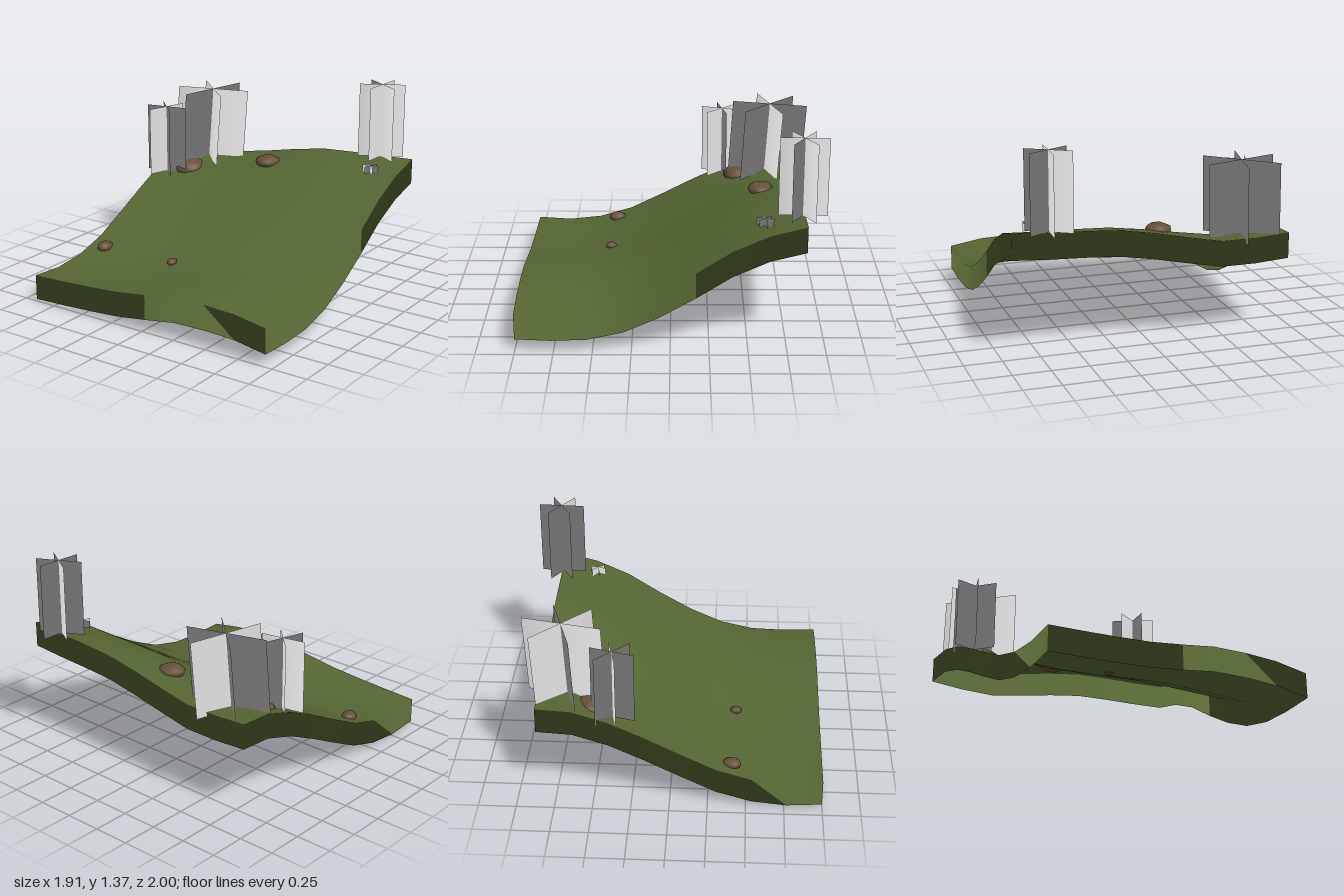
import * as THREE from 'three';
import { mergeVertices } from 'three/addons/utils/BufferGeometryUtils.js';

const grass = new THREE.MeshStandardMaterial({ name: 'hillGreen', color: 0x556633, side: THREE.DoubleSide });
const grey = new THREE.MeshStandardMaterial({ name: 'paleGrey', color: 0xcccccc, side: THREE.DoubleSide });
const brown = new THREE.MeshStandardMaterial({ name: 'rockBrown', color: 0x67503a });

// Heights along the four borders: front/back run from -x to +x, sides from front to back
const N = 8, X0 = -0.905, X1 = 0.953, Z0 = 1, Z1 = -0.86, SKIRT = 0.173;
const front = [0.19, 0.2, 0.213, 0.23, 0.262, 0.298, 0.305, 0.297, 0.26];
const back = [0.705, 0.69, 0.69, 0.735, 0.785, 0.825, 0.84, 0.85, 0.865];
const rightSide = [0.19, 0.175, 0.2, 0.27, 0.385, 0.505, 0.615, 0.69, 0.705];
const leftSide = [0.26, 0.25, 0.258, 0.31, 0.415, 0.55, 0.7, 0.805, 0.865];
// How far the bulge of the front border reaches back, row by row
const frontFade = [1, 1.25, 0.75, 0.3, 0.05, 0, 0, 0, 0];
const mix = THREE.MathUtils.lerp;

// Blend of the border heights over the whole patch
function height(i, j) {
  const u = i / N, v = j / N;
  const frontBulge = front[i] - mix(front[0], front[N], u);
  const backBulge = back[i] - mix(back[0], back[N], u);
  return mix(rightSide[j], leftSide[j], u) + frontBulge * frontFade[j] + backBulge * v;
}

function geometry(positions, index) {
  const g = new THREE.BufferGeometry();
  g.setAttribute('position', new THREE.Float32BufferAttribute(positions, 3));
  g.setIndex(index);
  return g;
}

function hillside() {
  const group = new THREE.Group();
  group.name = 'hillside';
  const pos = [], index = [], id = (i, j) => j * (N + 1) + i;
  for (let j = 0; j <= N; j++) {
    for (let i = 0; i <= N; i++) pos.push(mix(X0, X1, i / N), height(i, j), mix(Z0, Z1, j / N));
  }
  for (let j = 0; j < N; j++) {
    for (let i = 0; i < N; i++) {
      const a = id(i, j), b = id(i + 1, j), c = id(i + 1, j + 1), d = id(i, j + 1);
      index.push(a, b, c, a, c, d);
    }
  }
  const top = geometry(pos, index);
  top.computeVertexNormals();

  // Skirt hangs from the border and carries on the ground's normals
  const ring = [];
  for (let i = 0; i < N; i++) ring.push(id(i, 0));
  for (let j = 0; j < N; j++) ring.push(id(N, j));
  for (let i = N; i > 0; i--) ring.push(id(i, N));
  for (let j = N; j >= 0; j--) ring.push(id(0, j));
  const sPos = [], sNormal = [], sIndex = [], n = top.attributes.normal;
  ring.forEach((v, k) => {
    const [x, y, z] = pos.slice(v * 3, v * 3 + 3);
    sPos.push(x, y, z, x, y - SKIRT, z);
    for (let r = 0; r < 2; r++) sNormal.push(n.getX(v), n.getY(v), n.getZ(v));
    const a = k * 2;
    if (k < ring.length - 1) sIndex.push(a, a + 1, a + 3, a, a + 3, a + 2);
  });
  const skirt = geometry(sPos, sIndex);
  skirt.setAttribute('normal', new THREE.Float32BufferAttribute(sNormal, 3));

  const ground = new THREE.Mesh(top, grass), edge = new THREE.Mesh(skirt, grass);
  ground.name = 'ground';
  edge.name = 'groundSkirt';
  group.add(ground, edge);
  return group;
}

// Three upright planes crossing on one shared centre line; lean shifts the top.
// Normals point up and slightly outward for soft foliage shading.
function plantCards(name, x, z, y0, y1, radius, degrees, lean = [0, 0]) {
  const pos = [x, y0, z, x + lean[0], y1, z + lean[1]], normal = [0, 1, 0, 0, 1, 0], index = [];
  for (const d of degrees) {
    const a = THREE.MathUtils.degToRad(d), cos = Math.cos(a), sin = Math.sin(a);
    const k = pos.length / 3;
    for (const s of [-1, 1]) {
      const px = x + s * cos * radius, pz = z + s * sin * radius;
      pos.push(px, y0, pz, px + lean[0], y1, pz + lean[1]);
      const out = new THREE.Vector3(s * cos * 0.35, 1, s * sin * 0.35).normalize().toArray();
      normal.push(...out, ...out);
    }
    index.push(k, 0, 1, k, 1, k + 1, 0, k + 2, k + 3, 0, k + 3, 1);
  }
  const g = geometry(pos, index);
  g.setAttribute('normal', new THREE.Float32BufferAttribute(normal, 3));
  const mesh = new THREE.Mesh(g, grey);
  mesh.name = name;
  return mesh;
}

// Flattened, slightly irregular boulder
function rock(name, center, size, turn) {
  const ball = new THREE.IcosahedronGeometry(1, 1);
  ball.deleteAttribute('normal');
  ball.deleteAttribute('uv');
  const g = mergeVertices(ball), p = g.attributes.position;
  for (let i = 0; i < p.count; i++) {
    const x = p.getX(i), y = p.getY(i), z = p.getZ(i);
    const s = 1 + 0.07 * Math.sin(5 * x + 3 * y + turn) * Math.cos(4 * z - y);
    p.setXYZ(i, x * s, y * s, z * s);
  }
  g.rotateY(turn);
  g.scale(...size);
  g.computeVertexNormals();
  const mesh = new THREE.Mesh(g, brown);
  mesh.name = name;
  mesh.position.set(...center);
  return mesh;
}

export function createModel() {
  const model = new THREE.Group();
  model.name = 'hillsideTile';
  model.add(
    hillside(),
    plantCards('largePlant', -0.646, -0.675, 0.66, 1.18, 0.267, [-17, 43, 103], [0.02, -0.03]),
    plantCards('mediumPlant', -0.807, -0.367, 0.6, 1.09, 0.15, [-12, 45, 107]),
    plantCards('backPlant', 0.711, -0.844, 0.85, 1.37, 0.157, [-28, 31, 93]),
    plantCards('smallPlant', 0.765, -0.603, 0.8, 0.853, 0.057, [-12, 45, 107]),
    rock('largeRock', [-0.71, 0.615, -0.5], [0.122, 0.07, 0.122], 0.4),
    rock('backRock', [-0.085, 0.735, -0.617], [0.09, 0.045, 0.085], 1.1),
    rock('frontRock', [-0.785, 0.243, 0.405], [0.05, 0.036, 0.06], 2.0),
    rock('smallRock', [-0.182, 0.262, 0.425], [0.031, 0.026, 0.04], 2.7),
  );
  return model;
}
